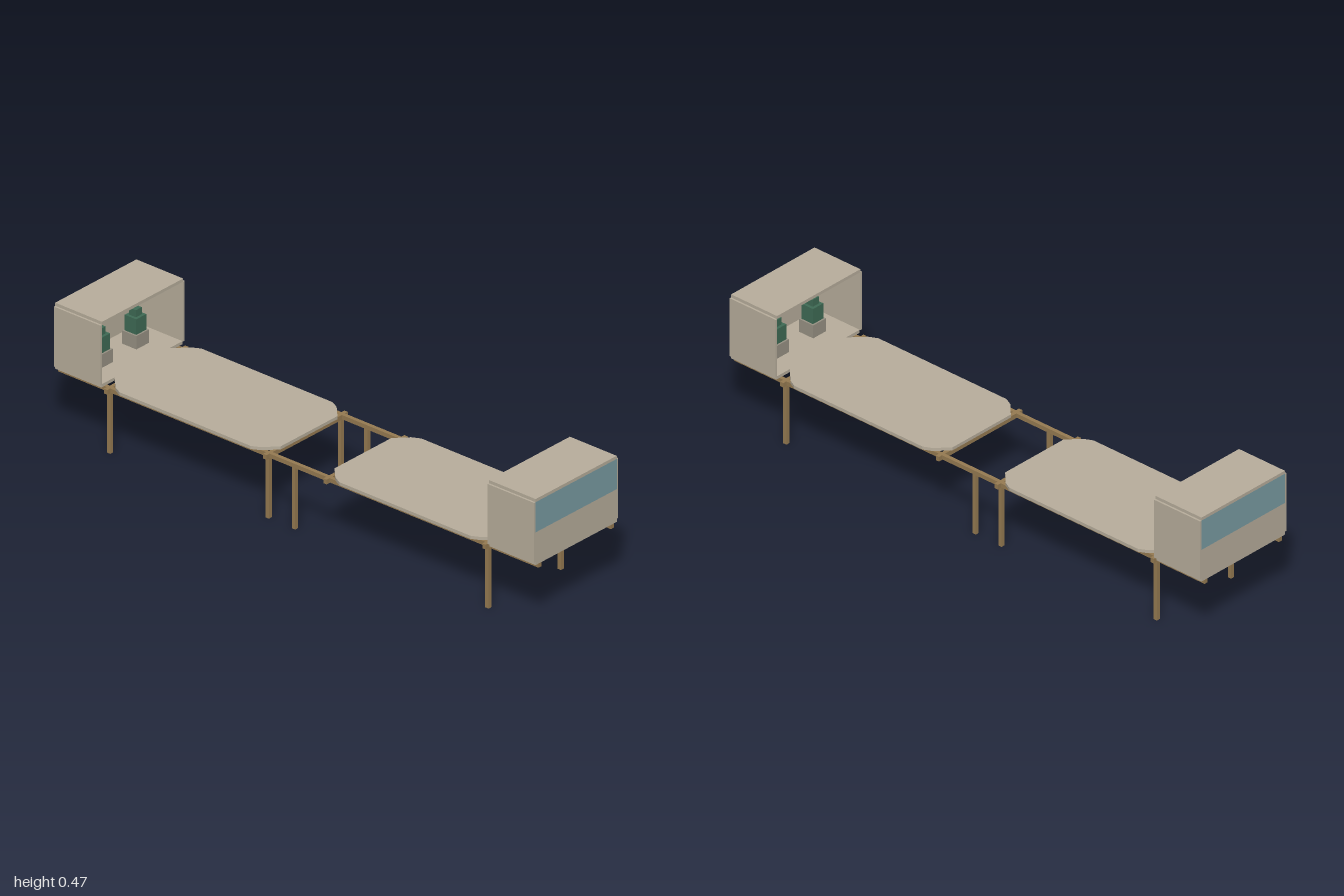
import * as THREE from 'three';

const mat = (name, color) => {
  const m = new THREE.MeshStandardMaterial({ color });
  m.name = name;
  return m;
};

export function createModel() {
  const model = new THREE.Group();
  model.name = 'platformWithShelters';
  const panel = mat('beige panel', 0xb8ae9c);
  const wood = mat('brown wood', 0x967b52);
  const glass = mat('blue glass', 0x7a9ca3);
  const leaf = mat('green leaf', 0x3f6b55);
  const pot = mat('grey pot', 0x989284);

  // Box given by its lower and upper corners
  const box = (parent, name, material, [x0, y0, z0], [x1, y1, z1]) => {
    const mesh = new THREE.Mesh(new THREE.BoxGeometry(x1 - x0, y1 - y0, z1 - z0), material);
    mesh.position.set((x0 + x1) / 2, (y0 + y1) / 2, (z0 + z1) / 2);
    mesh.name = name;
    parent.add(mesh);
  };

  // Timber frame: long rails, crossbars and legs
  const frame = new THREE.Group();
  frame.name = 'frame';
  const r = 0.007, railZ = 0.172;
  for (const z of [-railZ, railZ]) {
    box(frame, 'longRail', wood, [-1, 0.217, z - r], [1, 0.232, z + r]);
    for (const x of [-0.79, -0.13, -0.02, 0.785])
      box(frame, 'leg', wood, [x - r, 0, z - r], [x + r, 0.225, z + r]);
  }
  for (const x of [-0.79, -0.127, 0.123, 0.785])
    box(frame, 'crossbar', wood, [x - r, 0.215, -0.193], [x + r, 0.232, 0.193]);
  model.add(frame);

  // Deck plate with cut corners, lying between the gap and a shelter
  const corner = [[0.112, 0.135], [0.155, 0.18], [0.185, 0.195],
    [0.73, 0.195], [0.76, 0.18], [0.808, 0.13]];
  const outline = [...corner, ...corner.map(([x, z]) => [x, -z]).reverse()];
  const deckShape = new THREE.Shape(outline.map(([x, z]) => new THREE.Vector2(x, z)));
  const deckGeometry = new THREE.ExtrudeGeometry(deckShape, { depth: 0.011, bevelEnabled: false });
  deckGeometry.rotateX(-Math.PI / 2);

  // Each half: deck and open-fronted shelter; the other is turned half round
  for (const turn of [0, Math.PI]) {
    const half = new THREE.Group();
    half.name = turn ? 'rightHalf' : 'leftHalf';
    half.rotation.y = turn;

    const deck = new THREE.Mesh(deckGeometry, panel);
    deck.name = 'deck';
    deck.position.y = 0.232;
    half.add(deck);

    const shelter = new THREE.Group();
    shelter.name = 'shelter';
    box(shelter, 'floor', panel, [0.808, 0.232, -0.193], [1, 0.243, 0.193]);
    box(shelter, 'roof', panel, [0.805, 0.455, -0.193], [1, 0.466, 0.193]);
    box(shelter, 'endWall', panel, [0.99, 0.243, -0.193], [1, 0.348, 0.193]);
    box(shelter, 'window', glass, [0.991, 0.348, -0.193], [1, 0.455, 0.193]);
    for (const s of [-1, 1]) {
      const z = s * 0.1965;
      box(shelter, 'sideWall', panel, [0.805, 0.243, z - 0.0035], [1, 0.455, z + 0.0035]);
    }

    // Potted shrubs inside the shelter
    for (const z of [-0.086, 0.086]) {
      const x = 0.91;
      box(shelter, 'planter', pot, [x - 0.03, 0.243, z - 0.03], [x + 0.03, 0.29, z + 0.03]);
      box(shelter, 'shrub', leaf, [x - 0.024, 0.29, z - 0.024], [x + 0.024, 0.345, z + 0.024]);
      box(shelter, 'shrubTop', leaf, [x - 0.014, 0.345, z - 0.014], [x + 0.014, 0.37, z + 0.014]);
    }
    half.add(shelter);
    model.add(half);
  }
  return model;
}
